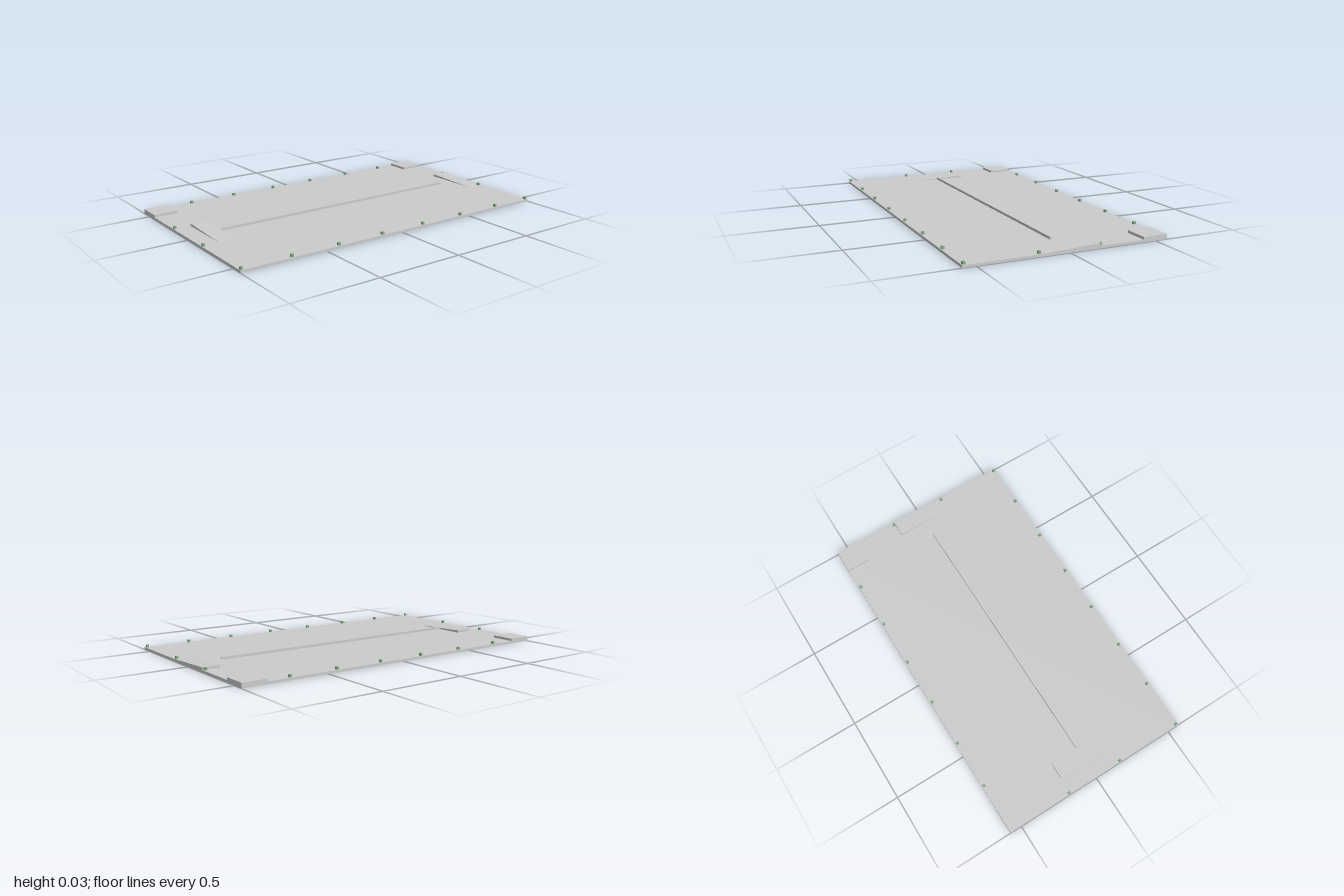
import * as THREE from 'three';

const T = 0.0143;          // slab thickness, also the height of everything standing on it
const HALF_DEPTH = 0.571;
const CELL = 2 / 7;        // post spacing

const grey = new THREE.MeshStandardMaterial({ color: 0xcccccc, flatShading: true });
const green = new THREE.MeshStandardMaterial({ color: 0x7fae7f, flatShading: true });

export function createModel() {
  const model = new THREE.Group();

  const addBox = (name, w, h, d, x, y, z, material = grey) => {
    const mesh = new THREE.Mesh(new THREE.BoxGeometry(w, h, d), material);
    mesh.name = name;
    mesh.position.set(x, y + h / 2, z);
    model.add(mesh);
  };

  // Floor slab
  addBox('floor', 2, T, HALF_DEPTH * 2, 0, 0, 0);

  // Raised platforms in the two back corners
  const block = CELL / 2;
  for (const side of [-1, 1]) {
    addBox('cornerPlatform', block, T, block, side * (1 - block / 2), T, -HALF_DEPTH + block / 2);
  }

  // Thin dividing wall along the middle
  addBox('middleWall', 1.6, T, 0.01, 0, T, 0);

  // Ramps rising towards the back: side profile swept across x
  const profile = new THREE.Shape();
  profile.moveTo(0.171, T);
  profile.lineTo(-0.171, T * 2);
  profile.lineTo(-0.171, T);
  profile.closePath();
  const rampGeometry = new THREE.ExtrudeGeometry(profile, { depth: 0.1, bevelEnabled: false });
  rampGeometry.rotateY(-Math.PI / 2);
  for (const rightEdge of [-0.8, 1]) {
    const ramp = new THREE.Mesh(rampGeometry, grey);
    ramp.name = 'ramp';
    ramp.position.x = rightEdge;
    model.add(ramp);
  }

  // Small square posts around the edge
  const post = (x, z) => addBox('post', T, T, T, x, T, z, green);
  for (let i = 0; i < 8; i++) {
    const x = Math.min(-0.99 + i * CELL, 0.986);
    post(x, 0.559);
    if (i > 0 && i < 7) post(x, -0.559);
  }
  for (const x of [-0.99, 0.986]) {
    post(x, 0.165);
    post(x, -0.177);
  }

  return model;
}
